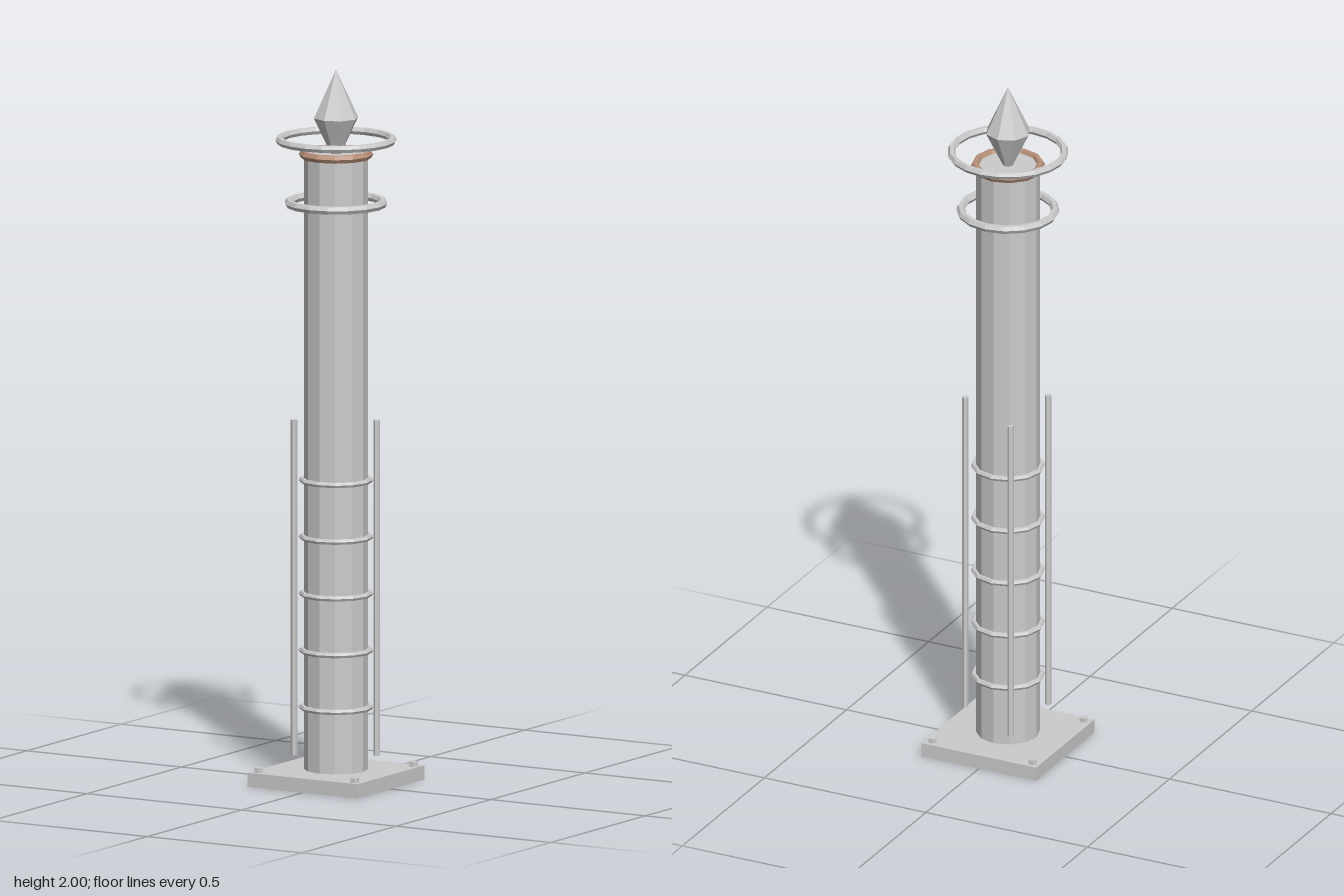
import * as THREE from 'three';

export function createModel() {
  const root = new THREE.Group();
  const grey = new THREE.MeshStandardMaterial({ color: 0xcccccc, flatShading: true });
  const copper = new THREE.MeshStandardMaterial({ color: 0xb8907a, flatShading: true });

  const add = (name, geometry, x, y, z, material = grey) => {
    const mesh = new THREE.Mesh(geometry, material);
    mesh.name = name;
    mesh.position.set(x, y, z);
    root.add(mesh);
    return mesh;
  };
  // Horizontal hoop around the column
  const hoop = (name, radius, tube, segments, y, material) =>
    add(name, new THREE.TorusGeometry(radius, tube, 6, segments).rotateX(Math.PI / 2), 0, y, 0, material);

  // Square base plate with a hexagonal bolt in each corner
  add('basePlate', new THREE.BoxGeometry(0.355, 0.04, 0.355), 0, 0.02, 0);
  for (const x of [-0.155, 0.155]) {
    for (const z of [-0.155, 0.155]) {
      add('bolt', new THREE.CylinderGeometry(0.013, 0.013, 0.016, 6).rotateY(Math.PI / 6), x, 0.045, z);
    }
  }

  // Main column
  add('column', new THREE.CylinderGeometry(0.088, 0.088, 1.725, 12), 0, 0.9025, 0);

  // Bands on the lower half
  for (let i = 0; i < 5; i++) hoop('columnBand', 0.095, 0.008, 12, 0.215 + i * 0.159);

  // Three upright rods standing clear of the column
  for (let i = 0; i < 3; i++) {
    const a = (i * Math.PI * 2) / 3;
    add('uprightRod', new THREE.CylinderGeometry(0.009, 0.009, 0.94, 6),
      0.132 * Math.cos(a), 0.56, 0.132 * Math.sin(a));
  }

  // Floating hoops and the coloured rim at the top
  hoop('lowerHoop', 0.131, 0.012, 16, 1.627);
  hoop('topRim', 0.091, 0.012, 12, 1.763, copper);
  hoop('upperHoop', 0.157, 0.011, 20, 1.803);

  // Faceted spike: tall point above, inverted point below
  add('spikeTop', new THREE.ConeGeometry(0.063, 0.135, 8, 1, true), 0, 1.9325, 0);
  add('spikeBottom', new THREE.ConeGeometry(0.063, 0.13, 8, 1, true).rotateX(Math.PI), 0, 1.8, 0);

  return root;
}
